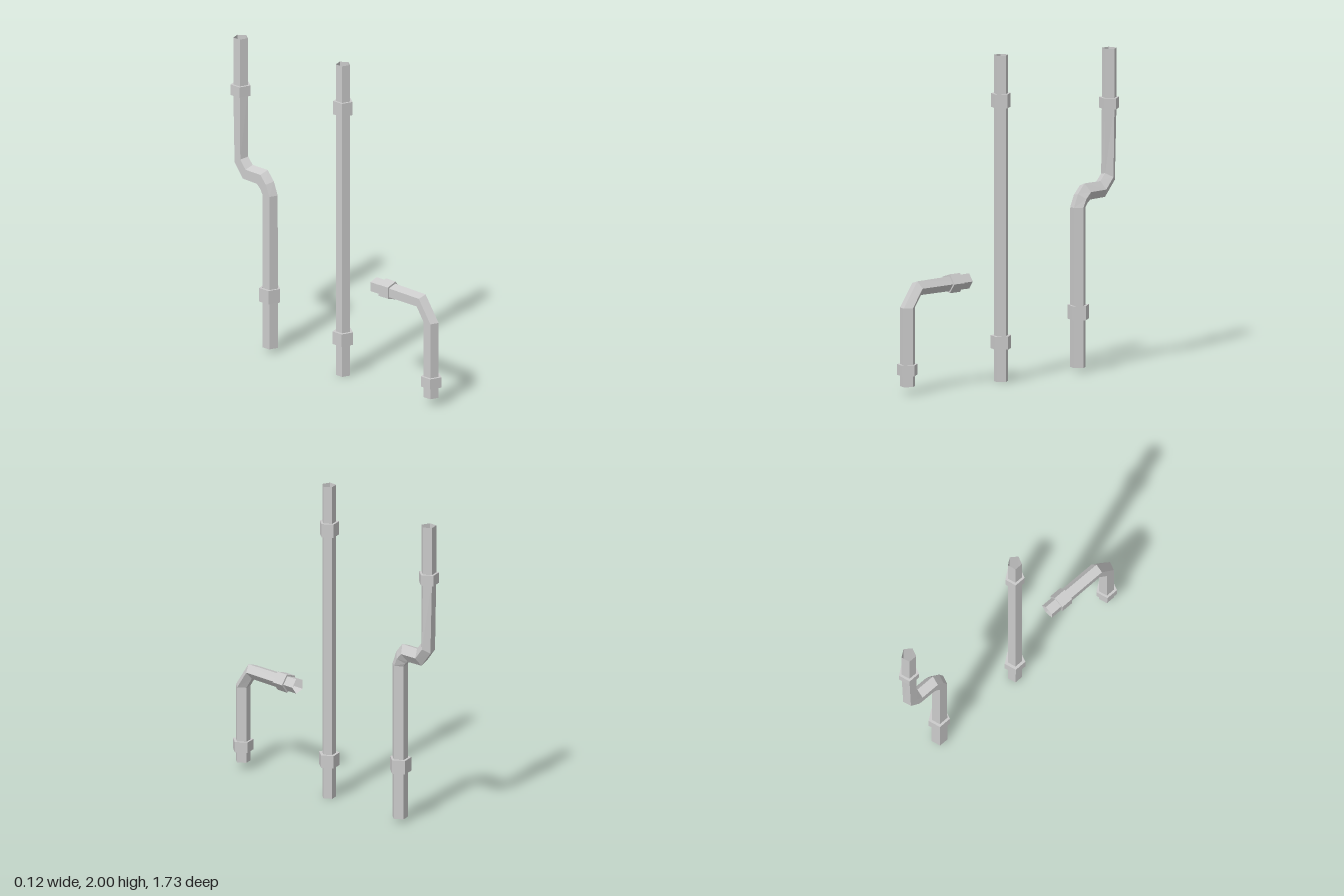
import * as THREE from 'three';

const SIDES = 5;
const AXIS_X = -0.008;

// Skin a row of five-sided rings. Ring: [z, y, tilt in degrees, radius, in-plane stretch]
// Tilt 0 faces up, tilt 90 faces the back.
function skin(name, rings, material) {
  const positions = [], index = [];
  for (const [z, y, tilt, r, stretch = 1] of rings) {
    const a = THREE.MathUtils.degToRad(tilt);
    for (let k = 0; k < SIDES; k++) {
      const t = (k / SIDES) * Math.PI * 2;
      const s = r * stretch * Math.sin(t);
      positions.push(AXIS_X + r * Math.cos(t), y + s * Math.sin(a), z + s * Math.cos(a));
    }
  }
  for (let i = 0; i < rings.length - 1; i++) {
    for (let k = 0; k < SIDES; k++) {
      const n = (k + 1) % SIDES;
      const a = i * SIDES + k, b = i * SIDES + n, c = a + SIDES, d = b + SIDES;
      index.push(a, c, b, b, c, d);
    }
  }
  const indexed = new THREE.BufferGeometry();
  indexed.setAttribute('position', new THREE.Float32BufferAttribute(positions, 3));
  indexed.setIndex(index);
  const geometry = indexed.toNonIndexed();
  geometry.computeVertexNormals();
  const mesh = new THREE.Mesh(geometry, material);
  mesh.name = name;
  return mesh;
}

// Collar around a pipe: a band with a flat annular face at each end
function collar(name, z, y, tilt, inner, outer, length, material) {
  const a = THREE.MathUtils.degToRad(tilt);
  const dz = -Math.sin(a) * length / 2, dy = Math.cos(a) * length / 2;
  return skin(name, [
    [z - dz, y - dy, tilt, inner],
    [z - dz, y - dy, tilt, outer],
    [z + dz, y + dy, tilt, outer],
    [z + dz, y + dy, tilt, inner],
  ], material);
}

export function createModel() {
  const material = new THREE.MeshStandardMaterial({
    color: 0xcccccc, flatShading: true, side: THREE.DoubleSide,
  });
  const model = new THREE.Group();
  model.name = 'pipes';

  const pipes = [
    {
      name: 'elbowPipe',
      rings: [
        [0.805, 0.045, 0, 0.048],
        [0.805, 0.527, 0, 0.048],
        [0.727, 0.64, 72, 0.048],
        [0.328, 0.644, 90, 0.049],
      ],
      collars: [
        [0.807, 0.147, 0, 0.047, 0.066, 0.066],
        [0.445, 0.643, 90, 0.047, 0.061, 0.08],
      ],
    },
    {
      name: 'straightPipe',
      rings: [
        [0.061, 0, 0, 0.045],
        [0.061, 2, 0, 0.045],
      ],
      collars: [
        [0.061, 0.241, 0, 0.044, 0.066, 0.08],
        [0.061, 1.722, 0, 0.044, 0.062, 0.085],
      ],
    },
    {
      name: 'offsetPipe',
      rings: [
        [-0.553, 0.024, 0, 0.05],
        [-0.553, 1.005, 0, 0.049],
        [-0.577, 1.057, 39, 0.049, 1.05],
        [-0.614, 1.096, 66, 0.049, 1.22],
        [-0.736, 1.099, 70, 0.049, 1.15],
        [-0.794, 1.17, 31, 0.048],
        [-0.802, 1.62, 0, 0.047],
        [-0.802, 1.955, 0, 0.047],
      ],
      collars: [
        [-0.556, 0.362, 0, 0.049, 0.068, 0.087],
        [-0.802, 1.62, 0, 0.046, 0.064, 0.067],
      ],
    },
  ];

  for (const { name, rings, collars } of pipes) {
    const pipe = new THREE.Group();
    pipe.name = name;
    pipe.add(skin('tube', rings, material));
    collars.forEach((c, i) => pipe.add(collar(i ? 'upperCollar' : 'lowerCollar', ...c, material)));
    model.add(pipe);
  }
  return model;
}
